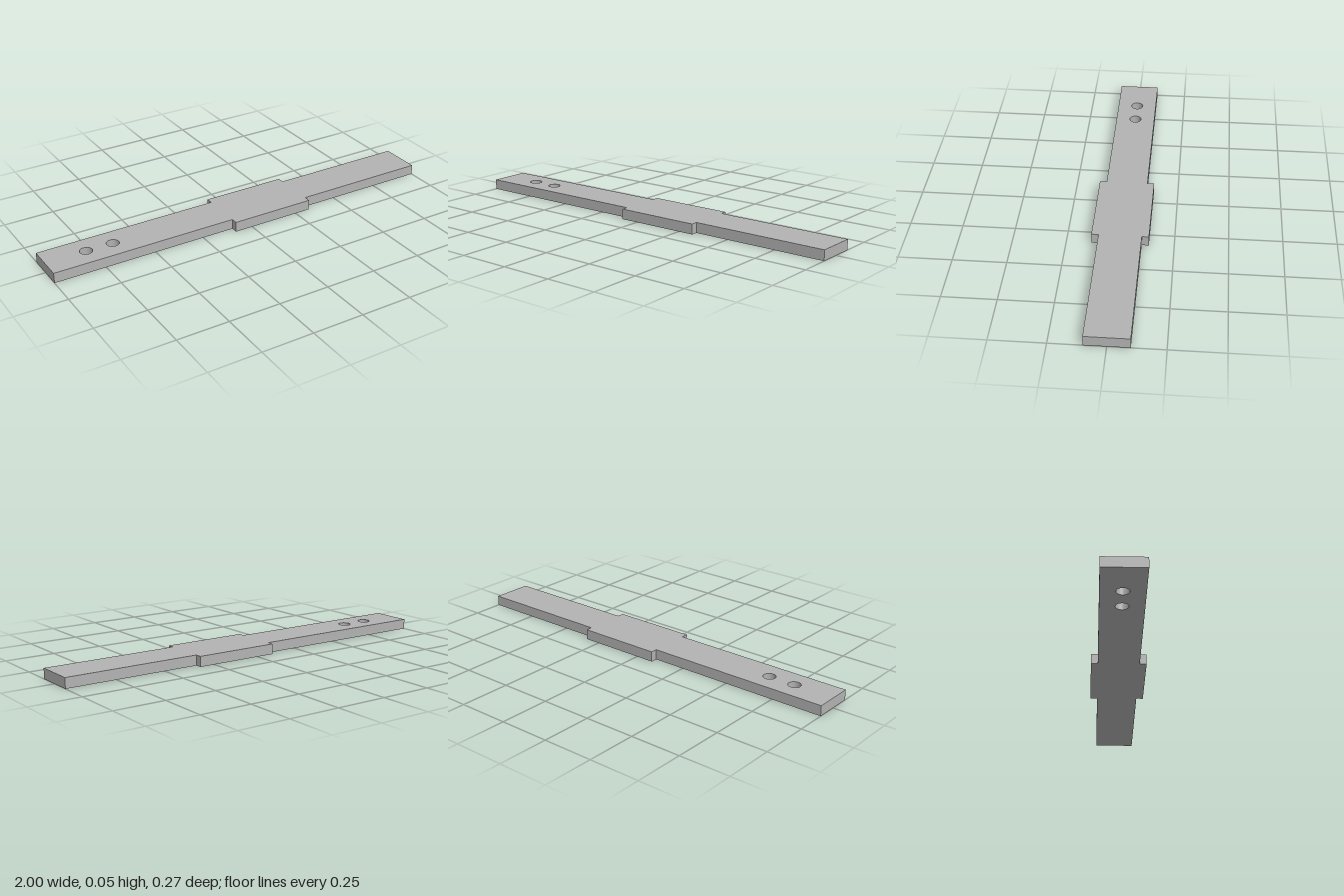
import * as THREE from 'three';

export function createModel() {
  const group = new THREE.Group();
  group.name = 'flatBar';
  const metal = new THREE.MeshStandardMaterial({ color: 0xb2b2b2 });
  metal.name = 'grey metal';

  const thickness = 0.05, halfWidth = 0.1, halfWide = 0.133;
  const wideStart = -0.09, wideEnd = 0.327;

  // One long edge of the outline, mirrored to make the other
  const edge = [
    [-1, halfWidth], [wideStart, halfWidth], [wideStart, halfWide],
    [wideEnd, halfWide], [wideEnd, halfWidth], [1, halfWidth],
  ];
  const mirrored = edge.map(([x, y]) => [x, -y]);
  const outline = [...mirrored, ...edge.reverse()];
  const shape = new THREE.Shape(outline.map(([x, y]) => new THREE.Vector2(x, y)));

  // Two through holes near the right end
  for (const x of [-0.8, -0.667]) {
    shape.holes.push(new THREE.Path().absarc(x, 0, 0.03, 0, Math.PI * 2, true));
  }

  // Extrude upwards from the ground
  const geometry = new THREE.ExtrudeGeometry(shape, {
    depth: thickness, bevelEnabled: false, curveSegments: 24,
  });
  geometry.rotateX(-Math.PI / 2);

  const bar = new THREE.Mesh(geometry, metal);
  bar.name = 'steppedBar';
  group.add(bar);
  return group;
}
